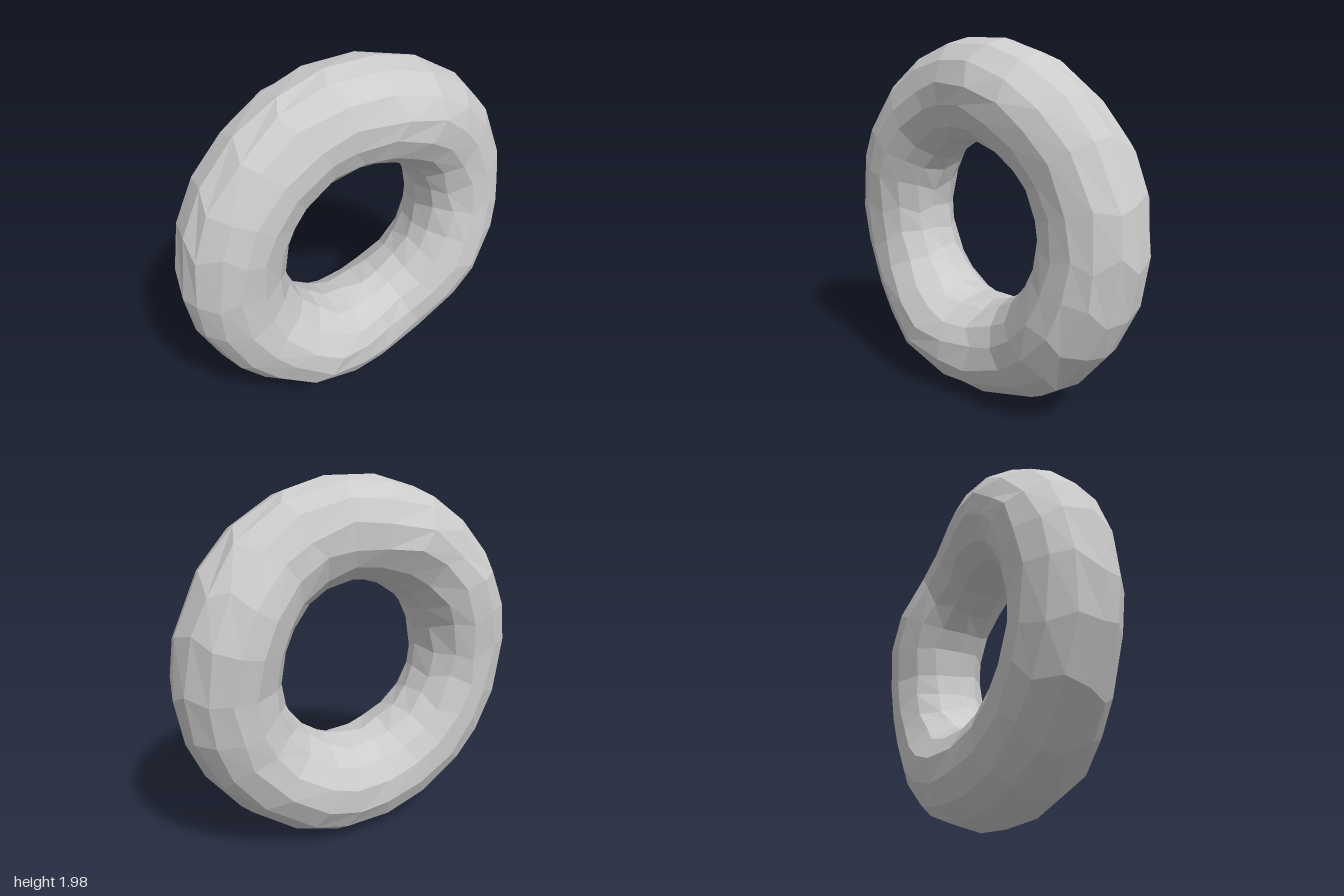
import * as THREE from 'three';

// Half-thickness of the ring every 15 degrees, counter-clockwise from +x
const FRONT = [.25, .245, .25, .28, .31, .31, .28, .25, .24, .25, .26, .26,
  .25, .245, .26, .29, .335, .335, .29, .25, .25, .28, .29, .27];
const BACK = [.31, .335, .325, .27, .24, .25, .29, .335, .325, .315, .335, .32,
  .30, .29, .29, .29, .29, .30, .32, .335, .335, .30, .29, .30];

// Smooth periodic lookup in a table, u in radians
function sample(table, u) {
  const n = table.length;
  const t = ((u / (Math.PI * 2)) * n + n) % n;
  const i = Math.floor(t), s = THREE.MathUtils.smoothstep(t - i, 0, 1);
  return THREE.MathUtils.lerp(table[i % n], table[(i + 1) % n], s);
}

// Repeatable noise in -1..1
function noise(a, b) {
  const s = Math.sin(a * 127.1 + b * 311.7) * 43758.5453;
  return (s - Math.floor(s)) * 2 - 1;
}

export function createModel() {
  const group = new THREE.Group();
  const sides = 14, segments = 22;
  const ringRadius = 0.722, tubeRadius = 0.278;

  // Ring whose front and back faces swell and dip around the circle
  const geometry = new THREE.TorusGeometry(ringRadius, tubeRadius, sides, segments);
  const pos = geometry.attributes.position;
  for (let j = 0; j <= sides; j++) {
    for (let i = 0; i <= segments; i++) {
      const a = i % segments, b = j % sides;
      // Slide vertices along the surface for irregular facets
      const u = ((a + 0.2 * noise(a, b)) / segments) * Math.PI * 2;
      const v = ((b + 0.13 * noise(b + 31, a)) / sides) * Math.PI * 2;
      const depth = sample(Math.sin(v) > 0 ? FRONT : BACK, u);
      const r = ringRadius + tubeRadius * Math.cos(v);
      pos.setXYZ(j * (segments + 1) + i, r * Math.cos(u), r * Math.sin(u), depth * Math.sin(v));
    }
  }
  geometry.computeVertexNormals();

  const ring = new THREE.Mesh(geometry,
    new THREE.MeshStandardMaterial({ color: 0xcccccc, flatShading: true }));
  ring.name = 'lumpyRing';
  ring.position.y = 1;
  group.add(ring);
  return group;
}
